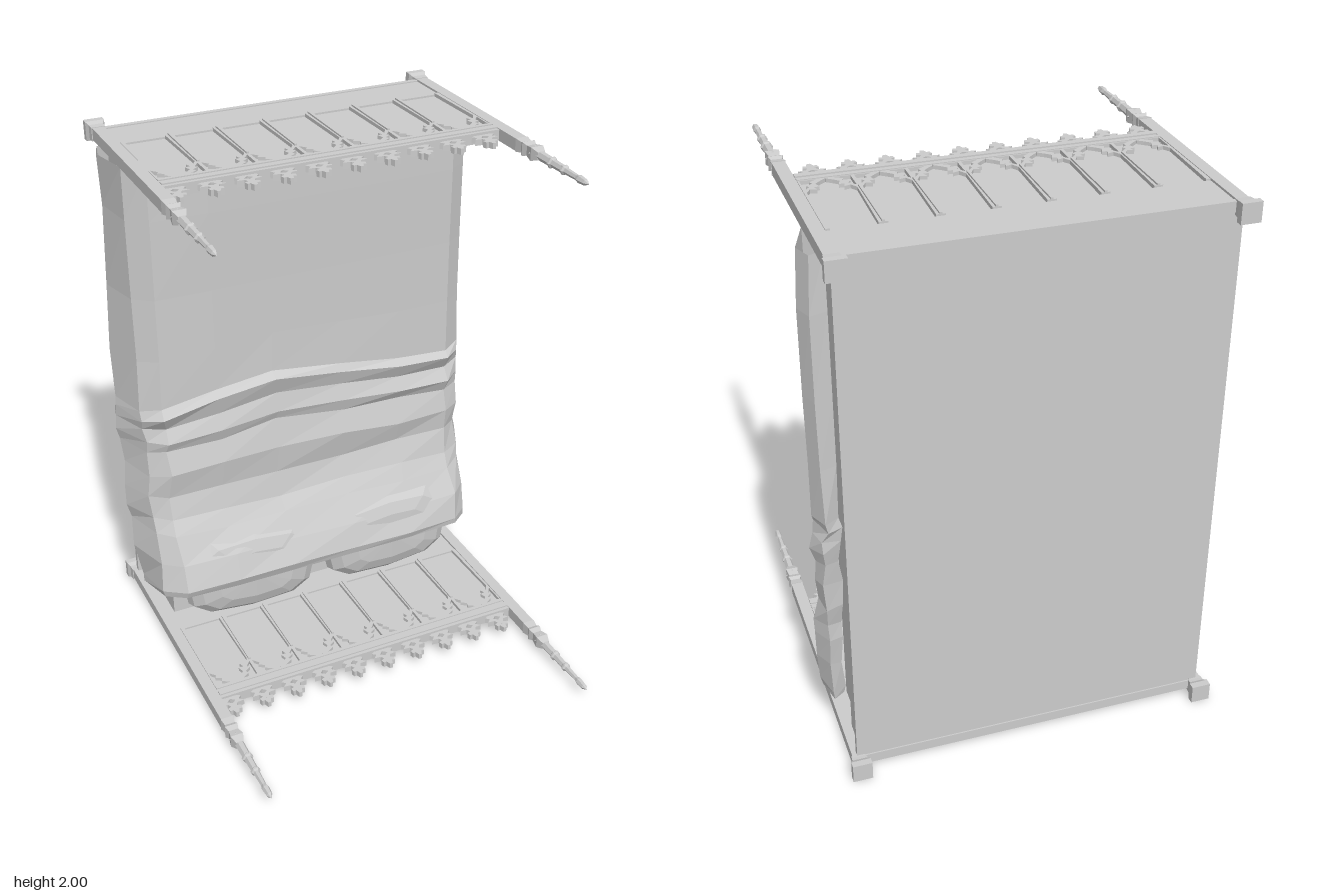
import * as THREE from 'three';

const mat = new THREE.MeshStandardMaterial({ color: 0xcccccc, flatShading: true });
const clothMat = new THREE.MeshStandardMaterial({ color: 0xcccccc, flatShading: true, side: THREE.DoubleSide });

function add(parent, name, geometry, x = 0, y = 0, z = 0, material = mat) {
  const mesh = new THREE.Mesh(geometry, material);
  mesh.name = name;
  mesh.position.set(x, y, z);
  parent.add(mesh);
  return mesh;
}

// box given by its limits in x, y and z
function slab(parent, name, x0, x1, y0, y1, z0, z1) {
  return add(parent, name, new THREE.BoxGeometry(x1 - x0, y1 - y0, z1 - z0),
    (x0 + x1) / 2, (y0 + y1) / 2, (z0 + z1) / 2);
}

// turned part along z; with four sides the radii are half widths of a square
function turned(profile, sides) {
  const k = sides === 4 ? Math.SQRT2 : 1;
  const pts = profile.map(([r, v]) => new THREE.Vector2(r * k, v));
  return new THREE.LatheGeometry(pts, sides, Math.PI / sides).rotateX(Math.PI / 2);
}

// flat carving in the x-z plane, thickness centred in y
function carve(outline, depth, holes = []) {
  const v = (p) => new THREE.Vector2(p[0], p[1]);
  const shape = new THREE.Shape(outline.map(v));
  holes.forEach((h) => shape.holes.push(new THREE.Path(h.map(v))));
  return new THREE.ExtrudeGeometry(shape, { depth, bevelEnabled: false })
    .translate(0, 0, -depth / 2).rotateX(Math.PI / 2);
}
const flip = (pts) => pts.map(([x, v]) => [-x, v]).reverse();
const bothSides = (half) => [...half, ...flip(half)];

// half outlines: crest flower and the forked tracery column
const FLOWER = [[0.026, -0.005], [0.044, 0.006], [0.03, 0.018], [0.046, 0.034], [0.02, 0.036], [0.012, 0.05],
  [0.027, 0.056], [0.023, 0.072], [0.012, 0.07], [0.006, 0.088]];
const COLUMN = [[0.015, -0.39], [0.009, -0.11], [0.024, -0.085], [0.046, -0.092], [0.04, -0.072], [0.058, -0.07],
  [0.05, -0.045], [0.068, -0.028], [0.088, -0.012], [0.088, 0]];
const COLUMN_EYE = [[0.006, -0.09], [0.026, -0.066], [0.018, -0.056], [0.04, -0.042], [0.034, -0.028],
  [0.062, -0.01], [0.006, -0.01]];

const BOARD_X = 0.622, POST_X = 0.645;

// end board: railZ is the underside of the top rail
function makeBoard(name, yc, railZ) {
  const g = new THREE.Group();
  g.name = name;
  const step = railZ - 0.39;
  slab(g, 'lowerPanel', -BOARD_X, BOARD_X, yc - 0.015, yc + 0.015, -0.69, step);
  slab(g, 'upperPanel', -BOARD_X, BOARD_X, yc - 0.014, yc + 0.008, step, railZ);
  slab(g, 'bottomRail', -BOARD_X, BOARD_X, yc - 0.018, yc + 0.019, -0.695, -0.675);
  slab(g, 'topRail', -BOARD_X, BOARD_X, yc - 0.02, yc + 0.02, railZ, railZ + 0.058);
  slab(g, 'railMoulding', -BOARD_X, BOARD_X, yc - 0.025, yc + 0.025, railZ + 0.022, railZ + 0.045);
  slab(g, 'railBead', -BOARD_X, BOARD_X, yc - 0.024, yc + 0.024, railZ - 0.006, railZ + 0.008);

  // tracery: full forked columns in the middle, halves at the ends
  const half = [[0, 0], [0, -0.39], ...COLUMN];
  const full = carve(bothSides(COLUMN), 0.014, [COLUMN_EYE, flip(COLUMN_EYE)]);
  const right = carve(half, 0.014, [COLUMN_EYE]);
  const left = carve(flip(half), 0.014, [flip(COLUMN_EYE)]);
  const rib = new THREE.BoxGeometry(0.009, 0.008, 0.29);
  for (let i = 0; i < 8; i++) {
    const x = (i - 3.5) * 0.1775;
    add(g, 'traceryColumn', i === 0 ? right : i === 7 ? left : full, x, yc + 0.014, railZ);
    if (i > 0 && i < 7) add(g, 'columnRib', rib, x, yc + 0.023, railZ - 0.245);
  }

  // row of pierced flowers on the crest
  const eye = [[0, 0.008], [0.016, 0.022], [0, 0.034], [-0.016, 0.022]];
  const flower = carve(bothSides(FLOWER), 0.022, [eye]);
  const knob = new THREE.OctahedronGeometry(0.014);
  for (let i = 0; i < 10; i++) {
    const x = -0.592 + i * 0.127;
    add(g, 'crestFlower', flower, x, yc, railZ + 0.06);
    add(g, 'crestKnob', knob, x, yc, railZ + 0.123);
  }

  // posts with flared feet, collars and ringed finials
  const top = railZ + 0.17;
  const shaft = turned([[0, -0.7], [0.022, -0.7], [0.022, top], [0, top]], 4);
  const foot = turned([[0, -0.75], [0.035, -0.75], [0.035, -0.725], [0.027, -0.71], [0.025, -0.685], [0, -0.685]], 4);
  const collar = turned([[0, 0], [0.024, 0], [0.019, 0.03], [0.025, 0.045], [0.018, 0.065], [0.024, 0.1],
    [0.014, 0.13], [0, 0.13]], 4);
  const finial = turned([[0.018, 0.08], [0.016, 0.19], [0.021, 0.195], [0.021, 0.203], [0.015, 0.208], [0.014, 0.265],
    [0.018, 0.27], [0.018, 0.278], [0.012, 0.284], [0.01, 0.35], [0.014, 0.365], [0.011, 0.4], [0, 0.42]], 6);
  for (const s of [-1, 1]) {
    add(g, 'post', shaft, s * POST_X, yc, 0);
    add(g, 'postFoot', foot, s * POST_X, yc < 1 ? 0.036 : 1.964, 0);
    add(g, 'postCollar', collar, s * POST_X, yc, top);
    add(g, 'postFinial', finial, s * POST_X, yc, top);
    // small leaves around the collar
    for (let k = 0; k < 4; k++) {
      const a = k * Math.PI / 2;
      add(g, 'collarLeaf', new THREE.OctahedronGeometry(0.009),
        s * POST_X + Math.cos(a) * 0.018, yc + Math.sin(a) * 0.018, top + 0.09);
    }
  }
  return g;
}

// blanket rows: y, crest z, right edge x, left edge x, right hem z, left hem z, upward bow at the middle
const ROWS = [
  [1.945, -0.325, 0.715, 0.70, -0.585, -0.62, 0], [1.75, -0.325, 0.725, 0.69, -0.59, -0.64, 0],
  [1.45, -0.33, 0.725, 0.705, -0.59, -0.62, 0], [1.2, -0.33, 0.722, 0.72, -0.59, -0.6, 0.03],
  [0.99, -0.328, 0.722, 0.725, -0.59, -0.59, 0.09], [0.965, -0.302, 0.715, 0.725, -0.585, -0.59, 0.08],
  [0.91, -0.33, 0.722, 0.728, -0.58, -0.585, 0.06], [0.86, -0.305, 0.728, 0.722, -0.58, -0.58, 0.05],
  [0.81, -0.325, 0.715, 0.725, -0.57, -0.575, 0.05], [0.72, -0.3, 0.725, 0.715, -0.56, -0.565, 0.02],
  [0.62, -0.318, 0.72, 0.725, -0.55, -0.555, 0], [0.53, -0.295, 0.725, 0.72, -0.54, -0.545, -0.01],
  [0.47, -0.26, 0.722, 0.715, -0.53, -0.535, 0], [0.36, -0.205, 0.72, 0.71, -0.52, -0.52, 0],
  [0.26, -0.175, 0.71, 0.70, -0.505, -0.505, 0], [0.23, -0.185, 0.705, 0.695, -0.5, -0.5, 0],
];

function makeBlanket() {
  let seed = 7;
  const rnd = () => ((seed = (seed * 16807) % 2147483647) / 2147483647 - 0.5);
  const pos = [], index = [];
  const middle = [0.38, 0.13, -0.15, -0.38];
  // one side: [x, share of the drop from crest to hem], from the tucked hem inward
  const side = (edge) => [[0.64, 0.93], [edge - 0.025, 1], [edge, 0.75], [0.665, 0.2], [0.595, 0.02]];
  ROWS.forEach(([y, zc, xr, xl, hr, hl, bow]) => {
    const rough = y < 1 && y > 0.24 ? 1 : 0;
    const section = [
      ...side(xr).map(([x, t]) => [x, t, hr]),
      ...middle.map((x) => [x, 0, hr]),
      ...side(xl).reverse().map(([x, t]) => [-x, t, hl]),
    ];
    section.forEach(([x, t, hem]) => {
      const lift = bow * Math.max(0, 1 - Math.abs(x + 0.12) / 0.55);
      const drop = y < 0.4 ? -0.055 * t * (0.4 - y) / 0.17 : 0;
      const shy = y < 0.5 ? 0.05 * Math.max(0, Math.abs(x) - 0.5) : 0;
      pos.push(x + rnd() * 0.018 * rough, y + lift + drop + rnd() * 0.02 * rough,
        zc + (hem - zc) * t - shy + rnd() * 0.012 * rough);
    });
  });
  const n = 14;
  for (let r = 0; r < ROWS.length - 1; r++) {
    for (let c = 0; c < n - 1; c++) {
      const a = r * n + c, b = a + 1, d = a + n, e = d + 1;
      index.push(a, b, e, a, e, d);
    }
  }
  const geo = new THREE.BufferGeometry();
  geo.setAttribute('position', new THREE.Float32BufferAttribute(pos, 3));
  geo.setIndex(index);
  geo.computeVertexNormals();
  return geo;
}

// cushion: sphere squared off towards a rounded box with pinched rim
function makePillow() {
  const geo = new THREE.SphereGeometry(1, 12, 8).rotateX(Math.PI / 2);
  const p = geo.attributes.position;
  const square = (v, e) => Math.sign(v) * Math.pow(Math.abs(v), e);
  for (let i = 0; i < p.count; i++) {
    p.setXYZ(i, square(p.getX(i), 0.6) * 0.285, square(p.getY(i), 0.6) * 0.19, square(p.getZ(i), 0.9) * 0.09);
  }
  geo.computeVertexNormals();
  return geo;
}

export function createModel() {
  const model = new THREE.Group();
  model.name = 'bed';
  model.add(makeBoard('headboard', 0.04, 0.157), makeBoard('footboard', 1.965, -0.12));

  // base, side rails and mattress
  slab(model, 'basePanel', -0.65, 0.65, 0.045, 1.955, -0.69, -0.668);
  slab(model, 'frame', -0.632, 0.632, 0.05, 1.95, -0.668, -0.54);
  slab(model, 'mattress', -0.605, 0.605, 0.055, 1.945, -0.54, -0.35);

  const pillow = makePillow();
  for (const s of [-1, 1]) add(model, 'pillow', pillow, s * 0.3, 0.25, -0.283).rotation.z = s * 0.03;
  add(model, 'blanket', makeBlanket(), 0, 0, 0, clothMat);
  return model;
}
